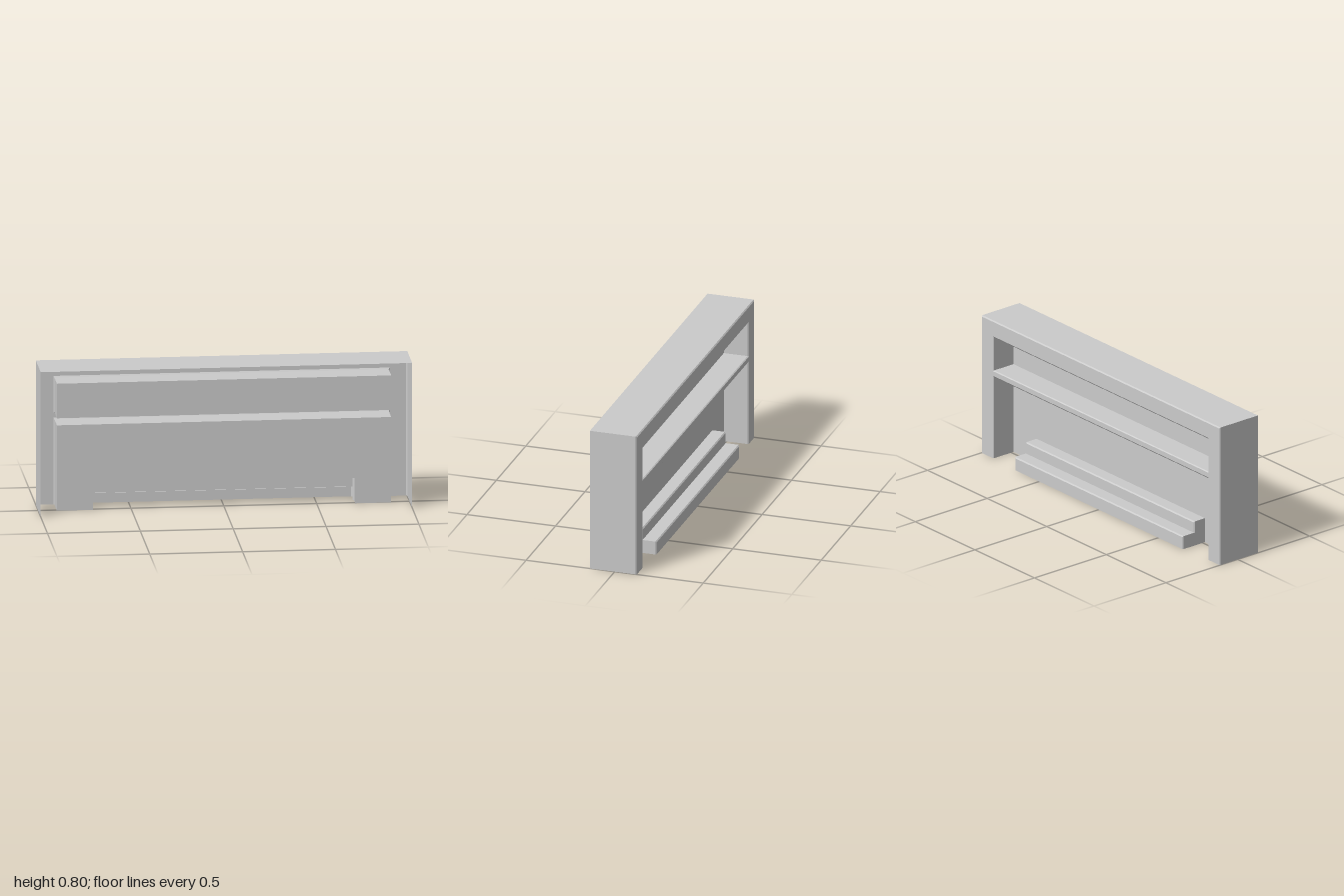
import * as THREE from 'three';

const material = new THREE.MeshStandardMaterial({ color: 0xcccccc, flatShading: true, side: THREE.DoubleSide });

const FRONT = 0.14, BACK = -0.125, PANEL = 0.015, BEVEL = 0.006;

// Outline of a rectangle from y0 to y1, starting and ending at the bottom
const frame = (half, y0, y1, closed) => {
  const points = [[half, y0], [half, y1], [-half, y1], [-half, y0]];
  return closed ? [...points, points[0]] : points;
};

// Thin skin joining outlines that sit at successive depths: [outline, z]
function skin(name, rings) {
  const positions = [];
  for (let r = 0; r < rings.length - 1; r++) {
    const [a, za] = rings[r], [b, zb] = rings[r + 1];
    for (let i = 0; i < a.length - 1; i++) {
      const p = [...a[i], za], q = [...a[i + 1], za], s = [...b[i + 1], zb], t = [...b[i], zb];
      positions.push(...p, ...q, ...s, ...p, ...s, ...t);
    }
  }
  const geometry = new THREE.BufferGeometry();
  geometry.setAttribute('position', new THREE.Float32BufferAttribute(positions, 3));
  geometry.computeVertexNormals();
  const mesh = new THREE.Mesh(geometry, material);
  mesh.name = name;
  return mesh;
}

// Flat sheet facing the back, with optional holes
function sheet(name, outline, z, holes = []) {
  const toVectors = (points) => points.map(([x, y]) => new THREE.Vector2(x, y));
  const shape = new THREE.Shape(toVectors(outline));
  holes.forEach((hole) => shape.holes.push(new THREE.Path(toVectors(hole))));
  const mesh = new THREE.Mesh(new THREE.ShapeGeometry(shape), material);
  mesh.name = name;
  mesh.position.z = z;
  return mesh;
}

// Recess whose mouth flares slightly outwards
function recess(name, y0, y1, closed) {
  const floor = closed ? y0 + 0.004 : y0;
  const mouth = frame(0.905, y0, y1, closed);
  const inner = frame(0.9, floor, y1 - 0.008, closed);
  return skin(name, [[mouth, BACK], [inner, BACK + BEVEL], [inner, PANEL]]);
}

// Step with bevelled edges around its riser
function step(name, height, zStart, zEnd, riserBottom) {
  const group = new THREE.Group();
  group.name = name;
  const outer = frame(0.706, 0, height);
  const inner = frame(0.706 - BEVEL, 0, height - BEVEL);
  group.add(skin(name + 'Tread', [[outer, zStart], [outer, zEnd + BEVEL], [inner, zEnd]]));
  group.add(sheet(name + 'Riser', frame(0.706 - BEVEL, riserBottom, height - BEVEL), zEnd));
  return group;
}

export function createModel() {
  const model = new THREE.Group();
  model.name = 'wallUnit';

  // Outer top and side walls, open at the front and below
  const outer = frame(1, 0, 0.8);
  const bevelled = frame(1 - BEVEL, 0, 0.8 - BEVEL);
  model.add(skin('outerWalls', [[outer, FRONT], [outer, BACK + BEVEL], [bevelled, BACK]]));

  // Back frame: two posts, top rail and middle rail
  const frameOutline = [...bevelled, ...frame(0.905, 0, 0.48).reverse()];
  model.add(sheet('backFrame', frameOutline, BACK, [frame(0.905, 0.507, 0.71)]));

  // Upper and lower recesses with their panels
  model.add(recess('upperRecess', 0.507, 0.71, true));
  model.add(recess('lowerRecess', 0, 0.48, false));
  model.add(sheet('upperPanel', frame(0.9, 0.511, 0.702), PANEL));
  const lowerOutline = [...frame(0.9, 0, 0.472), ...frame(0.706, 0, 0.14).reverse()];
  model.add(sheet('lowerPanel', lowerOutline, PANEL));

  // Two hollow steps leading up to the lower panel
  model.add(step('upperStep', 0.14, PANEL, -0.06, 0.075));
  model.add(step('lowerStep', 0.075, -0.054, -0.138, 0));

  return model;
}
